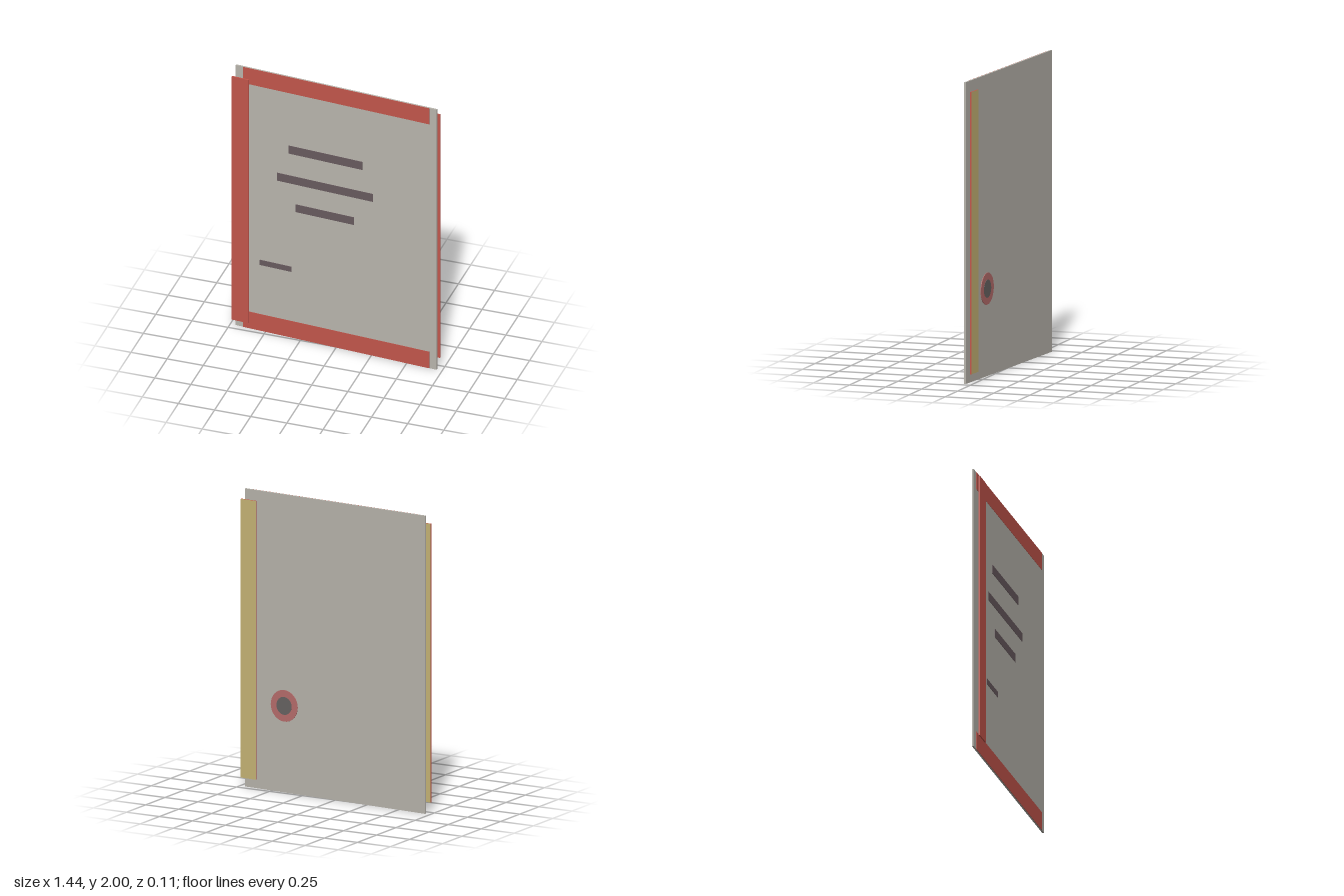
import * as THREE from 'three';

const mat = (name, color) => {
  const m = new THREE.MeshStandardMaterial({ color });
  m.name = name;
  return m;
};

export function createModel() {
  const grey = mat('panelGrey', 0xbab6ae);
  const red = mat('trimRed', 0xc4564c);
  const dark = mat('slotDark', 0x695b5f);
  const tan = mat('stripBackTan', 0xc8b676);
  const rose = mat('ringRose', 0xb86e6c);
  const charcoal = mat('hubCharcoal', 0x686462);

  const model = new THREE.Group();
  model.name = 'doorPanel';
  const door = new THREE.Group();
  door.name = 'door';
  door.rotation.y = -0.07; // the whole door stands slightly turned
  model.add(door);

  // Box given by its x and y limits, its middle z and its depth
  const box = (name, x0, x1, y0, y1, z, depth, material) => {
    const mesh = new THREE.Mesh(new THREE.BoxGeometry(x1 - x0, y1 - y0, depth), material);
    mesh.position.set((x0 + x1) / 2, (y0 + y1) / 2, z);
    mesh.name = name;
    door.add(mesh);
  };

  // Main slab
  box('panel', -0.714, 0.714, 0, 2, 0, 0.012, grey);

  // Painted bands at top and bottom of the front
  box('bottomBand', -0.662, 0.662, 0, 0.127, 0.007, 0.002, red);
  box('topBand', -0.662, 0.662, 1.877, 2, 0.007, 0.002, red);

  // Dark slots on the front
  [[-0.338, 0.187, 1.412, 1.473], [-0.418, 0.262, 1.184, 1.244], [-0.286, 0.128, 0.974, 1.032]]
    .forEach(([x0, x1, y0, y1], i) => box('slot' + (i + 1), x0, x1, y0, y1, 0.0075, 0.003, dark));

  // Small handle bar standing off the front
  box('handleBar', -0.53, -0.304, 0.524, 0.563, 0.035, 0.003, dark);

  // Edge strips, red with a tan back: one in front, one behind
  const stripMaterials = [red, red, red, red, red, tan];
  box('rightStrip', -0.722, -0.602, 0.067, 1.938, 0.049, 0.009, stripMaterials);
  box('leftStrip', 0.598, 0.718, 0.067, 1.938, -0.043, 0.009, stripMaterials);

  // Round knob plate standing off the back
  const disc = (name, radius, depth, z, material) => {
    const geometry = new THREE.CylinderGeometry(radius, radius, depth, 32).rotateX(Math.PI / 2);
    const mesh = new THREE.Mesh(geometry, material);
    mesh.position.set(0.392, 0.585, z);
    mesh.name = name;
    door.add(mesh);
  };
  disc('knobRing', 0.106, 0.004, -0.02, rose);
  disc('knobHub', 0.06, 0.004, -0.0215, charcoal);

  return model;
}
